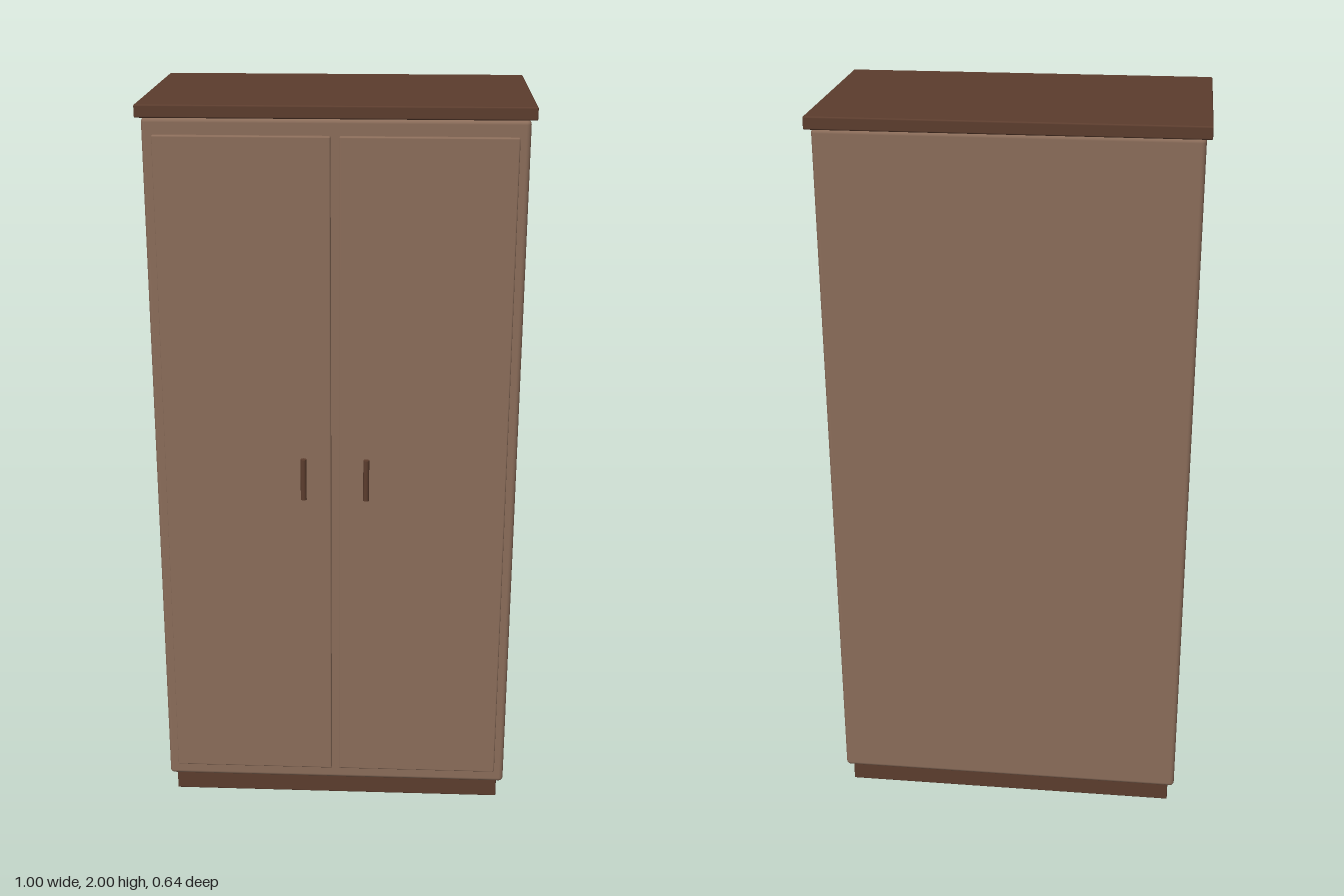
import * as THREE from 'three';
import { RoundedBoxGeometry } from 'three/addons/geometries/RoundedBoxGeometry.js';

export function createModel() {
  const group = new THREE.Group();
  const wood = new THREE.MeshStandardMaterial({ color: 0x8b6d5a });
  const darkWood = new THREE.MeshStandardMaterial({ color: 0x5c3d2e });

  // Box given by its limits on each axis, with softened edges
  function panel(name, material, [x0, x1], [y0, y1], [z0, z1], radius) {
    const geometry = new RoundedBoxGeometry(x1 - x0, y1 - y0, z1 - z0, 3, radius);
    const mesh = new THREE.Mesh(geometry, material);
    mesh.position.set((x0 + x1) / 2, (y0 + y1) / 2, (z0 + z1) / 2);
    mesh.name = name;
    group.add(mesh);
  }

  // Plinth, cabinet and overhanging top
  panel('plinth', darkWood, [-0.468, 0.468], [0, 0.07], [-0.282, 0.262], 0.003);
  panel('cabinet', wood, [-0.486, 0.486], [0.06, 1.967], [-0.302, 0.281], 0.012);
  panel('top', darkWood, [-0.5, 0.5], [1.967, 2], [-0.318, 0.292], 0.004);

  // Pair of doors with upright bar handles
  for (const side of [1, -1]) {
    const label = side > 0 ? 'left' : 'right';
    const xs = [side * 0.011, side * 0.459].sort((a, b) => a - b);
    panel(label + 'Door', wood, xs, [0.1, 1.925], [0.268, 0.293], 0.004);

    const handle = new THREE.Mesh(new THREE.CylinderGeometry(0.008, 0.008, 0.116, 16), darkWood);
    handle.position.set(side * 0.084, 1.013, 0.31);
    handle.name = label + 'Handle';
    group.add(handle);
  }
  return group;
}
